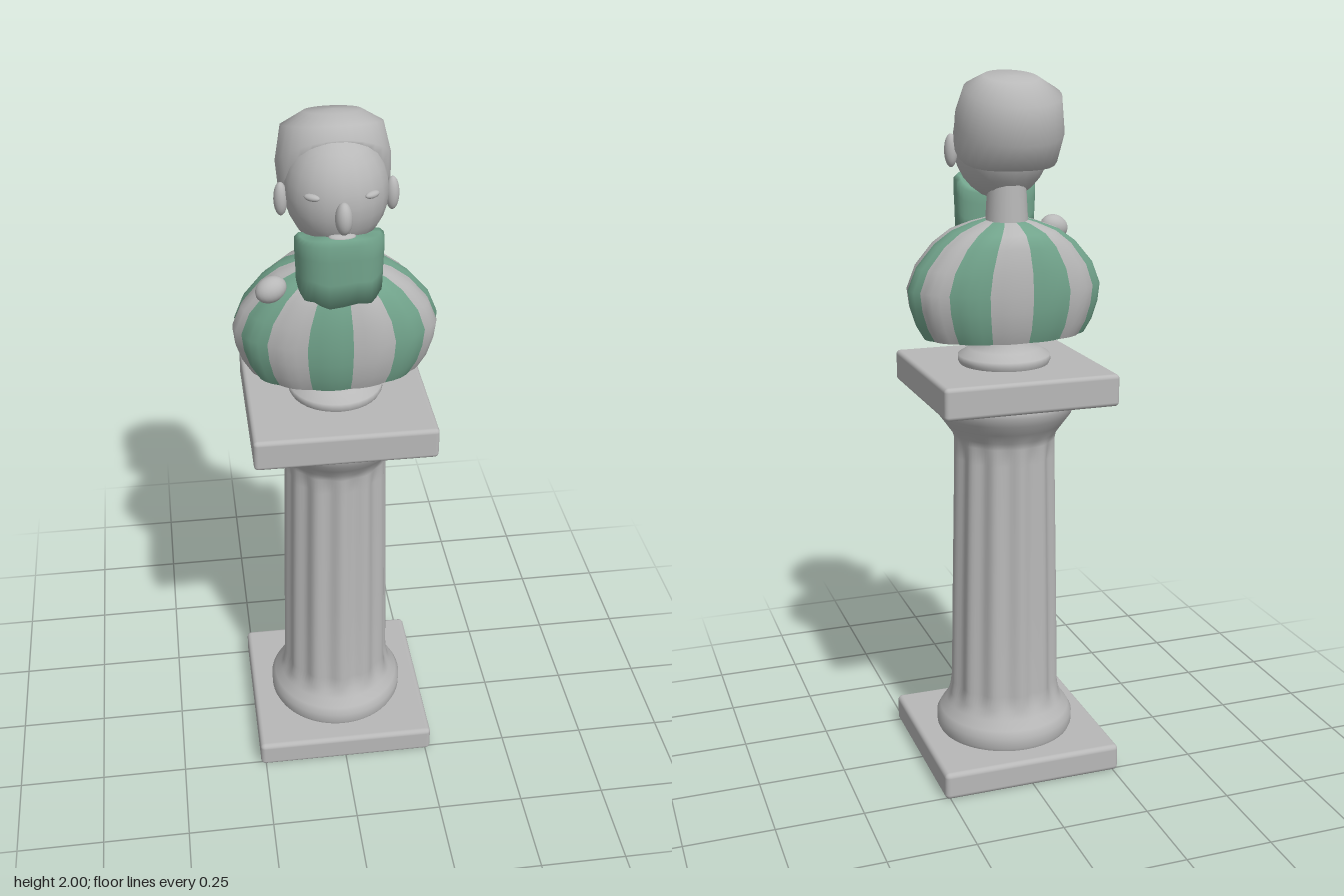
import * as THREE from 'three';
import { RoundedBoxGeometry } from 'three/addons/geometries/RoundedBoxGeometry.js';

const stone = new THREE.MeshStandardMaterial({ color: 0xb8b8b8 });
stone.name = 'stone grey';
const green = new THREE.MeshStandardMaterial({ color: 0x72a48c });
green.name = 'sage green';

// Closed loft through rings listed bottom to top; angle 0 faces the front.
// matAt(column) picks the material slot of each vertical strip.
function loft(rows, segs, point, start = 0, matAt = () => 0) {
  const pos = [], idx = [], geo = new THREE.BufferGeometry();
  rows.forEach(row => {
    for (let j = 0; j < segs; j++) pos.push(...point(row, start + j / segs * Math.PI * 2));
  });
  for (let j = 0; j < segs; j++) {
    const k = (j + 1) % segs;
    geo.addGroup(idx.length, (rows.length - 1) * 6, matAt(j));
    for (let i = 0; i < rows.length - 1; i++) {
      const a = i * segs + j, b = i * segs + k;
      idx.push(a, b, b + segs, a, b + segs, a + segs);
    }
  }
  geo.setAttribute('position', new THREE.Float32BufferAttribute(pos, 3));
  geo.setIndex(idx);
  geo.computeVertexNormals();
  return geo;
}

export function createModel() {
  const model = new THREE.Group();
  model.name = 'bustOnColumn';
  const add = (name, geo, mat, x = 0, y = 0, z = 0) => {
    const mesh = new THREE.Mesh(geo, mat);
    mesh.name = name;
    mesh.position.set(x, y, z);
    model.add(mesh);
    return mesh;
  };
  const blob = (name, x, y, z, rx, ry, rz) => {
    const mesh = add(name, new THREE.SphereGeometry(1, 20, 14), stone, x, y, z);
    mesh.scale.set(rx, ry, rz);
    return mesh;
  };

  // Square slabs
  add('baseSlab', new RoundedBoxGeometry(0.53, 0.08, 0.53, 3, 0.014), stone, 0, 0.04, 0);
  add('topSlab', new RoundedBoxGeometry(0.5, 0.09, 0.5, 3, 0.012), stone, 0, 1.155, 0);

  // Fluted column: height, radius, flute depth
  const columnRows = [
    [0.075, 0.195, 0], [0.09, 0.202, 0], [0.12, 0.203, 0], [0.14, 0.192, 0], [0.165, 0.174, 0],
    [0.19, 0.165, 0.003], [0.23, 0.161, 0.012], [0.5, 0.156, 0.012], [0.93, 0.147, 0.012],
    [0.98, 0.146, 0.005], [1.0, 0.149, 0], [1.03, 0.17, 0], [1.06, 0.192, 0], [1.085, 0.201, 0],
    [1.1, 0.2, 0], [1.112, 0.192, 0],
  ];
  add('flutedColumn', loft(columnRows, 96, ([y, r, d], a) => {
    const f = r - d * Math.pow(Math.abs(Math.sin(a * 6)), 2);
    return [f * Math.sin(a), y, f * Math.cos(a)];
  }), [stone]);

  // Small turned foot under the bust
  const foot = [[0.125, 1.198], [0.131, 1.21], [0.13, 1.225], [0.1, 1.243], [0.073, 1.262], [0.074, 1.295]];
  add('bustFoot', new THREE.LatheGeometry(foot.map(p => new THREE.Vector2(...p)), 32), stone);

  // Striped torso: height, half width, half depth
  const torsoRows = [
    [1.282, 0.228, 0.143], [1.32, 0.25, 0.158], [1.37, 0.266, 0.166], [1.42, 0.272, 0.169],
    [1.48, 0.248, 0.167], [1.54, 0.197, 0.157], [1.575, 0.148, 0.14], [1.597, 0.09, 0.1],
    [1.61, 0.04, 0.045], [1.612, 0, 0],
  ];
  const start = -0.349;
  add('stripedTorso', loft(torsoRows, 56, ([y, rx, rz], a) => {
    const lobe = 1 + 0.03 * Math.abs(Math.sin(7 * (a - start)));
    return [rx * lobe * Math.sin(a), y, rz * lobe * Math.cos(a)];
  }, start, j => Math.floor(j / 4) % 2), [green, stone]);
  const underside = new THREE.CircleGeometry(1, 40);
  underside.rotateX(Math.PI / 2);
  underside.scale(0.23, 1, 0.144);
  add('torsoUnderside', underside, stone, 0, 1.283, 0);

  // Neck, head and face
  add('neck', new THREE.CylinderGeometry(0.053, 0.06, 0.12, 20), stone, 0, 1.64, -0.022);
  blob('head', 0, 1.81, 0.02, 0.134, 0.155, 0.135);
  blob('nose', 0, 1.79, 0.163, 0.022, 0.043, 0.027);
  blob('lip', 0, 1.727, 0.132, 0.035, 0.01, 0.02);
  for (const s of [-1, 1]) {
    const side = s > 0 ? 'left' : 'right';
    blob(side + 'Ear', s * 0.143, 1.79, 0.026, 0.018, 0.045, 0.02);
    blob(side + 'Eye', s * 0.075, 1.836, 0.13, 0.022, 0.009, 0.011).rotation.y = s * 0.6;
  }

  // Hair cap: front and back points of each tilted ring, half width, side sag
  const hairRows = [
    { f: [1.93, 0.05], b: [1.76, -0.11], w: 0.12, sag: 0.045 },
    { f: [1.94, 0.072], b: [1.745, -0.14], w: 0.144, sag: 0.05 },
    { f: [1.956, 0.074], b: [1.81, -0.183], w: 0.149, sag: 0.02 },
    { f: [1.984, 0.05], b: [1.91, -0.192], w: 0.132, sag: 0 },
    { f: [2.0, 0.01], b: [1.97, -0.125], w: 0.075, sag: 0 },
    { f: [1.988, -0.06], b: [1.988, -0.06], w: 0, sag: 0 },
  ];
  add('hairCap', loft(hairRows, 28, ({ f, b, w, sag }, a) => {
    const c = Math.cos(a), s = Math.sin(a);
    const mix = i => (f[i] + b[i]) / 2 + (f[i] - b[i]) / 2 * c;
    return [w * s, mix(0) - sag * s * s, mix(1) + 0.4 * sag * s * s];
  }), [stone]);

  // Beard: boxy curtain with a sloping top and ragged hem; t runs from hem to top
  const beardRows = [[0, 0], [0, 0.97], [0.35, 0.98], [0.7, 1], [0.93, 1], [1, 0.9], [1, 0]];
  add('beard', loft(beardRows, 32, ([t, k], a) => {
    const c = Math.cos(a), s = Math.sin(a);
    const x = 0.115 * k * Math.sign(s) * Math.pow(Math.abs(s), 0.7);
    const z = 0.07 + k * (c > 0 ? 0.098 * Math.pow(c, 0.8) : 0.045 * c);
    const hem = 1.545 + 0.02 * s * s + 0.006 * Math.sin(a * 8);
    const top = 1.728 - 0.012 * s * s - Math.max(0, -c) * 0.05;
    return [x, hem + (top - hem) * t, z];
  }), [green]);

  // Hand resting on the right shoulder
  blob('hand', -0.178, 1.563, 0.08, 0.043, 0.034, 0.033).rotation.set(0, 0.25, 0.35);

  return model;
}
